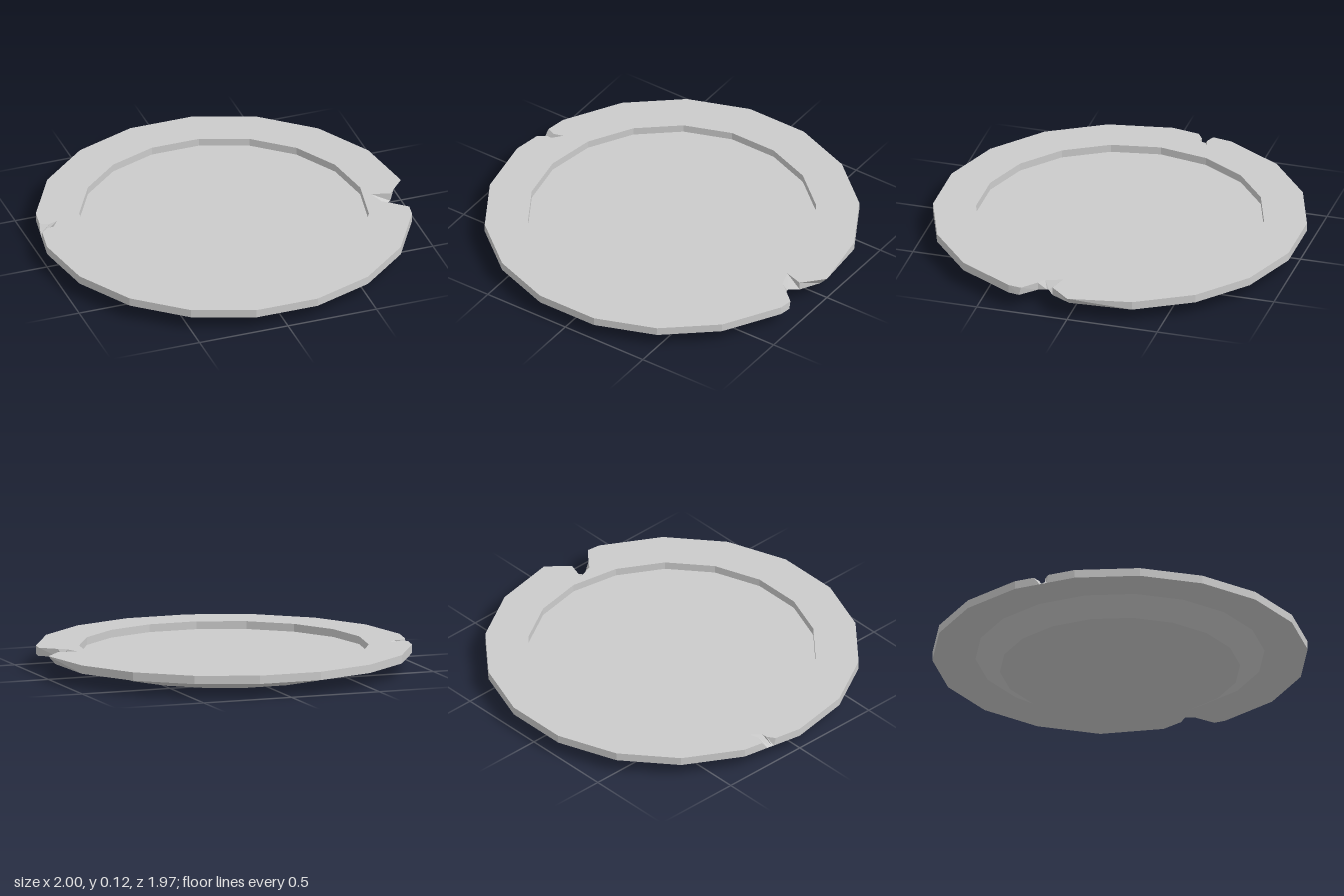
import * as THREE from 'three';

const SIDES = 18, BOTTOM = 0.08, TOP = 0.125, WELL = 0.77;
const material = new THREE.MeshStandardMaterial({ color: 0xcccccc, flatShading: true });

// Corner k of a regular polygon as [x, z]
const corner = (r, k) => {
  const a = (k / SIDES) * Math.PI * 2;
  return [r * Math.cos(a), r * Math.sin(a)];
};

// Break through the rim edge, matching points on top and underside
const notch = {
  top: [[1, 0], [0.9, 0.11], [0.8, 0.08], [0.83, 0.17], [0.87, 0.2], [0.95, 0.27]],
  low: [[0.96, 0], [0.9, 0.11], [0.85, 0.145], [0.85, 0.155], [0.865, 0.2], [0.95, 0.28]],
};
// Small chip that only bites into the upper edge
const chip = {
  top: [[-0.974, -0.15], [-0.93, -0.18], [-0.9, -0.18], [-0.86, -0.23], [-0.91, -0.215], [-0.958, -0.235]],
  low: [[-0.972, -0.16], [-0.97, -0.17], [-0.968, -0.18], [-0.966, -0.19], [-0.964, -0.2], [-0.96, -0.225]],
};

// Rim outline with the damage spliced in
function outline(level) {
  const pts = [...notch[level]];
  for (let k = 1; k < SIDES; k++) {
    pts.push(corner(1, k));
    if (k === SIDES / 2) pts.push(...chip[level]);
  }
  return pts;
}

// Flat ring between an outline and the well, facing up (1) or down (-1)
function ring(pts, y, facing) {
  const flat = (list) => list.map(([x, z]) => new THREE.Vector2(x, -facing * z));
  const shape = new THREE.Shape(flat(pts));
  const inner = Array.from({ length: SIDES }, (_, k) => corner(WELL, k));
  shape.holes.push(new THREE.Path(flat(inner)));
  return new THREE.ShapeGeometry(shape).rotateX(-facing * Math.PI / 2).translate(0, y, 0);
}

// Outer wall joining the two outlines
function wall(top, low) {
  const pos = [];
  top.forEach((_, i) => {
    const j = (i + 1) % top.length;
    const t = (k) => [top[k][0], TOP, top[k][1]];
    const b = (k) => [low[k][0], BOTTOM, low[k][1]];
    pos.push(...t(i), ...t(j), ...b(i), ...t(j), ...b(j), ...b(i));
  });
  const geo = new THREE.BufferGeometry();
  geo.setAttribute('position', new THREE.Float32BufferAttribute(pos, 3));
  geo.computeVertexNormals();
  return geo;
}

const lathe = (profile) => new THREE.LatheGeometry(
  profile.map(([r, y]) => new THREE.Vector2(r, y)), SIDES, Math.PI / 2);

export function createModel() {
  const plate = new THREE.Group();
  plate.name = 'chippedPlate';
  const add = (name, geometry) => {
    const mesh = new THREE.Mesh(geometry, material);
    mesh.name = name;
    plate.add(mesh);
  };
  const top = outline('top'), low = outline('low');
  add('rimTop', ring(top, TOP, 1));
  add('rimUnderside', ring(low, BOTTOM, -1));
  add('rimEdge', wall(top, low));
  add('base', lathe([[0, 0], [0.64, 0], [WELL, BOTTOM]]));
  add('well', lathe([[WELL, TOP], [WELL, BOTTOM + 0.003], [0, BOTTOM + 0.003]]));
  return plate;
}
